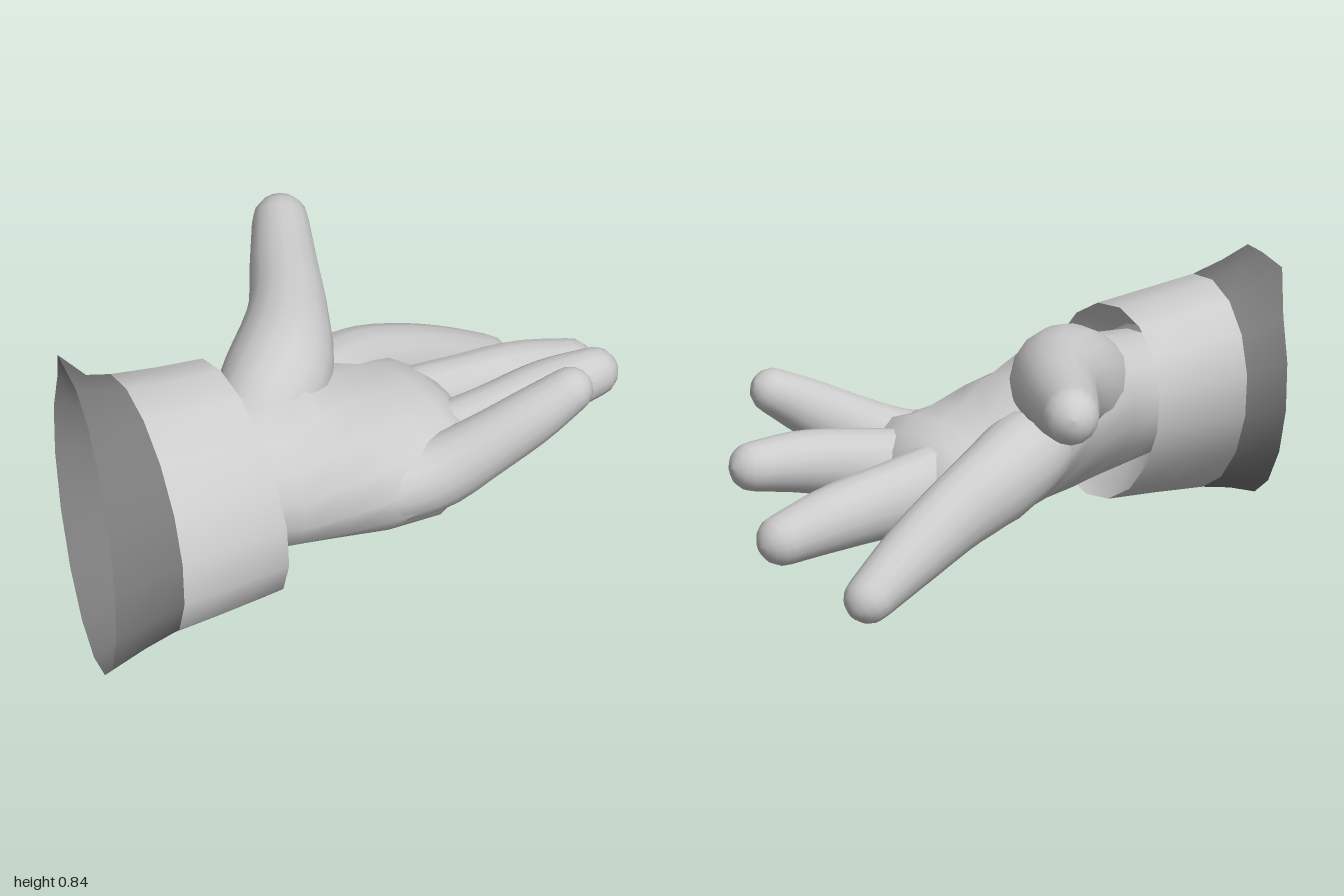
import * as THREE from 'three';

const SIDES = 16;
const V = (x, y, z) => new THREE.Vector3(x, y, z);

// Skin a list of closed rings (each SIDES points) with smooth normals
function loft(rings) {
  const pos = [], index = [];
  for (const ring of rings) for (const p of ring) pos.push(p.x, p.y, p.z);
  for (let i = 0; i < rings.length - 1; i++) {
    for (let j = 0; j < SIDES; j++) {
      const a = i * SIDES + j, b = i * SIDES + (j + 1) % SIDES;
      index.push(a, b, a + SIDES, b, b + SIDES, a + SIDES);
    }
  }
  const g = new THREE.BufferGeometry();
  g.setAttribute('position', new THREE.Float32BufferAttribute(pos, 3));
  g.setIndex(index);
  g.computeVertexNormals();
  return g;
}

// Ring of points around a centre, along two half-axis vectors
function makeRing(c, u, v) {
  return Array.from({ length: SIDES }, (_, j) => {
    const t = (j / SIDES) * Math.PI * 2;
    return c.clone().addScaledVector(u, Math.cos(t)).addScaledVector(v, Math.sin(t));
  });
}

// Tilted elliptical hand section: x, centre y, centre z, long half, short half, tilt
function palmRing([x, y, z, a, b, tilt]) {
  const s = Math.sin(tilt), c = Math.cos(tilt);
  return makeRing(V(x, y, z), V(0, s, -c).multiplyScalar(a), V(0, c, s).multiplyScalar(b));
}

// Slanted, leaning cuff section: centre, y radius, z radius, change of x per z
function cuffRing([x, y, z, ry, rz, slope]) {
  const lean = 0.3, s = -rz * Math.sin(lean), c = rz * Math.cos(lean);
  return makeRing(V(x, y, z), V(slope * s, ry, s), V(slope * c, 0, c));
}

// Finger along points [x, y, z, half width, half height], ending in a rounded tip
function fingerGeometry(points) {
  const path = new THREE.CatmullRomCurve3(points.map(p => V(p[0], p[1], p[2])));
  const sizes = new THREE.CatmullRomCurve3(points.map((p, i) => V(p[3], p[4], i)));
  const rings = [];
  const add = (c, d, size, scale) => {
    const u = V(0, 1, 0).addScaledVector(d, -d.y).normalize();
    const v = d.clone().cross(u);
    rings.push(makeRing(c, u.multiplyScalar(size.y * scale), v.multiplyScalar(size.x * scale)));
  };
  const steps = 14;
  for (let i = 0; i <= steps; i++) {
    const t = i / steps;
    add(path.getPoint(t), path.getTangent(t), sizes.getPoint(t), 1);
  }
  const tip = path.getPoint(1), dir = path.getTangent(1), size = sizes.getPoint(1);
  for (const a of [0.4, 0.8, 1.2, 1.56]) {
    add(tip.clone().addScaledVector(dir, size.x * Math.sin(a)), dir, size, Math.cos(a));
  }
  return loft(rings);
}

export function createModel() {
  const group = new THREE.Group();
  const light = new THREE.MeshStandardMaterial({ color: 0xcccccc, side: THREE.DoubleSide });
  light.name = 'lightGrey';
  const dark = new THREE.MeshStandardMaterial({ color: 0x7a7a7a, side: THREE.DoubleSide });
  dark.name = 'darkGrey';
  const add = (name, geometry, material) => {
    const mesh = new THREE.Mesh(geometry, material);
    mesh.name = name;
    group.add(mesh);
  };

  // Palm and wrist
  const wrist = [-0.45, 0.415, 0.12, 0.225, 0.19, 0.6];
  add('palm', loft([
    wrist,
    [-0.36, 0.415, 0.12, 0.24, 0.2, 0.65],
    [-0.25, 0.415, 0.115, 0.275, 0.208, 0.7],
    [-0.1, 0.41, 0.11, 0.31, 0.22, 0.6],
    [0.05, 0.37, 0.12, 0.325, 0.205, 0.38],
    [0.2, 0.33, 0.125, 0.345, 0.185, 0.15],
    [0.3, 0.32, 0.12, 0.325, 0.175, 0],
    [0.37, 0.315, 0.105, 0.28, 0.155, 0],
    [0.42, 0.31, 0.095, 0.21, 0.12, 0],
    [0.45, 0.31, 0.09, 0.12, 0.06, 0],
    [0.455, 0.31, 0.09, 0.001, 0.001, 0],
  ].map(palmRing)), light);

  // Rim turned inward at the open wrist
  const inner = [...wrist];
  inner[3] -= 0.03;
  inner[4] -= 0.03;
  add('wristRim', loft([inner, wrist].map(palmRing)), light);

  // Fingers and thumb
  const fingers = {
    indexFinger: [[0.02, 0.43, -0.05, 0.11, 0.11], [0.14, 0.415, -0.09, 0.132, 0.132],
      [0.3, 0.375, -0.138, 0.12, 0.135], [0.47, 0.32, -0.16, 0.104, 0.12],
      [0.66, 0.237, -0.18, 0.096, 0.1], [0.835, 0.15, -0.2, 0.078, 0.076]],
    middleFinger: [[0.22, 0.32, 0.053, 0.115, 0.135], [0.38, 0.315, 0.06, 0.107, 0.14],
      [0.55, 0.315, 0.07, 0.098, 0.115], [0.75, 0.3, 0.087, 0.097, 0.1],
      [0.92, 0.27, 0.107, 0.08, 0.08]],
    ringFinger: [[0.18, 0.3, 0.215, 0.11, 0.125], [0.33, 0.315, 0.25, 0.105, 0.125],
      [0.5, 0.36, 0.29, 0.096, 0.108], [0.68, 0.4, 0.32, 0.095, 0.094],
      [0.838, 0.415, 0.345, 0.076, 0.076]],
    littleFinger: [[-0.02, 0.31, 0.28, 0.105, 0.105], [0.1, 0.305, 0.325, 0.115, 0.115],
      [0.23, 0.325, 0.373, 0.11, 0.115], [0.36, 0.395, 0.43, 0.096, 0.1],
      [0.5, 0.48, 0.488, 0.086, 0.088], [0.612, 0.55, 0.527, 0.072, 0.07]],
    thumb: [[-0.3, 0.46, 0.06, 0.12, 0.12], [-0.18, 0.525, 0.035, 0.155, 0.165],
      [-0.05, 0.59, -0.04, 0.163, 0.172], [0.1, 0.645, -0.2, 0.122, 0.13],
      [0.22, 0.672, -0.38, 0.102, 0.108], [0.31, 0.702, -0.515, 0.086, 0.09]],
  };
  for (const [name, points] of Object.entries(fingers)) add(name, fingerGeometry(points), light);

  // Sleeve cuff, with a lining that narrows back to the wrist
  const seam = [-0.66, 0.415, 0.07, 0.358, 0.345, -0.26];
  const rim = [-0.337, 0.41, 0.125, 0.33, 0.325, -0.14];
  add('cuff', loft([seam, [-0.5, 0.412, 0.1, 0.343, 0.335, -0.2], rim].map(cuffRing)), light);
  add('cuffLining', loft([rim, [-0.38, 0.412, 0.125, 0.3, 0.295, -0.14],
    [-0.45, 0.42, 0.13, 0.22, 0.215, 0]].map(cuffRing)), light);

  // Dark flared band with one pulled-up corner
  const hem = cuffRing([-0.85, 0.415, 0.05, 0.415, 0.365, -0.43]);
  hem[15].y = 0.84;
  hem[15].z = -0.22;
  add('cuffBand', loft([hem, cuffRing([-0.76, 0.415, 0.06, 0.382, 0.355, -0.34]), cuffRing(seam)]), dark);

  return group;
}
